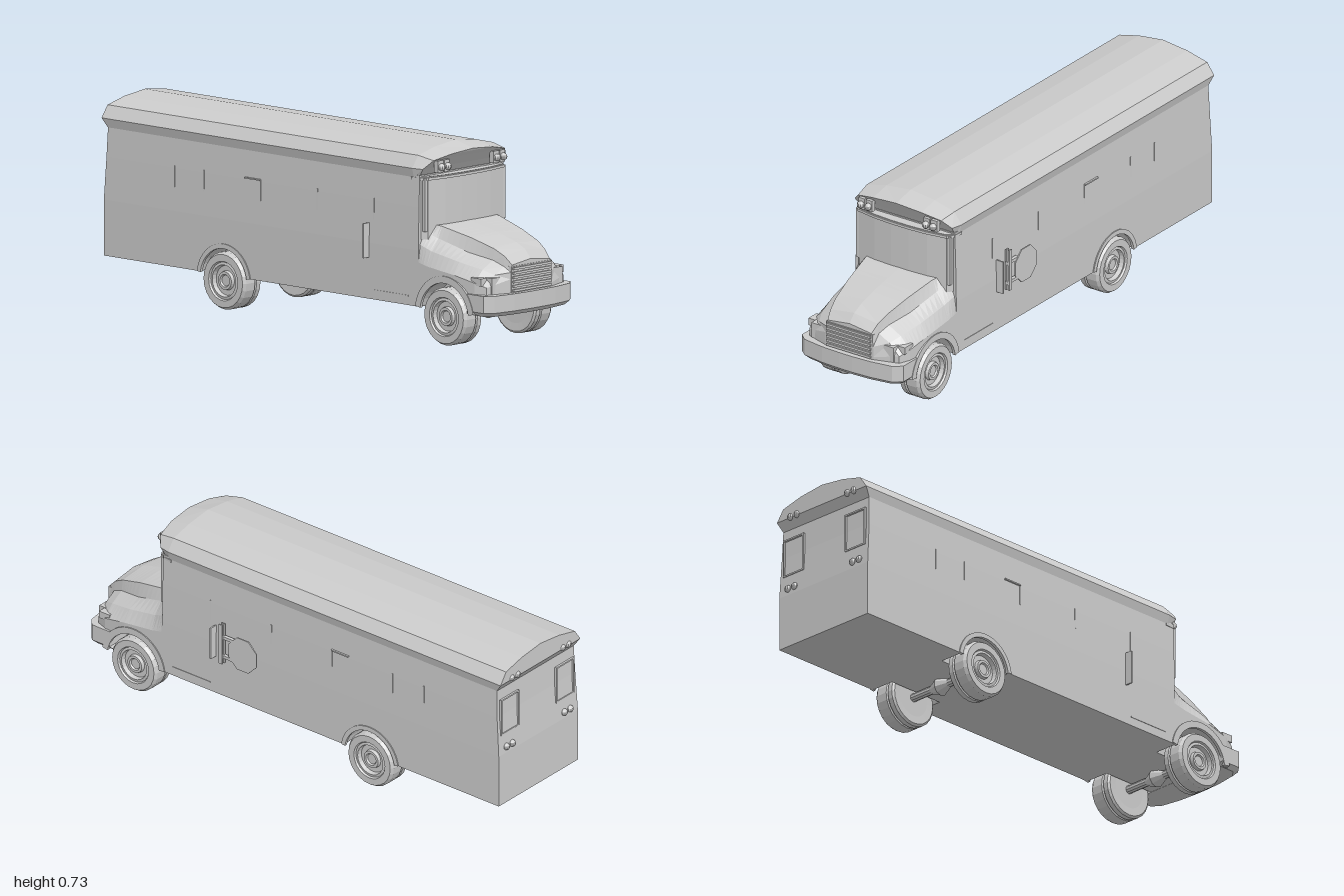
import * as THREE from 'three';

const mat = new THREE.MeshStandardMaterial({ color: 0xcccccc, flatShading: true, side: THREE.DoubleSide });
const REAR = -0.375, FRONT = 0.755, AXLE_Y = 0.11;

// Loft mirrored half sections along x. half(x) lists [z, y, dx] from top centre round to bottom centre.
function loft(xs, half) {
  const rings = xs.map((x) => {
    const h = half(x).map(([z, y, dx = 0]) => [x + dx, y, z]);
    return h.concat(h.slice(1, -1).reverse().map(([a, y, z]) => [a, y, -z]));
  });
  const n = rings[0].length, pos = [];
  const quad = (a, b, c, d) => pos.push(...a, ...b, ...c, ...b, ...d, ...c);
  for (let i = 0; i < rings.length - 1; i++)
    for (let j = 0; j < n; j++) {
      const k = (j + 1) % n;
      quad(rings[i][j], rings[i][k], rings[i + 1][j], rings[i + 1][k]);
    }
  const first = rings[0], last = rings[rings.length - 1];
  for (let k = 0; k < n / 2; k++) {
    const m = (n - k) % n, m2 = n - k - 1;
    quad(last[k], last[k + 1], last[m], last[m2]);
    quad(first[m], first[m2], first[k], first[k + 1]);
  }
  const g = new THREE.BufferGeometry();
  g.setAttribute('position', new THREE.Float32BufferAttribute(pos, 3));
  g.computeVertexNormals();
  return g;
}

// Extrude a plan outline (half, mirrored over z) upwards from y0 to y1
function plan(half, y0, y1, steps = 1) {
  const pts = half.concat([...half].reverse().map(([x, z]) => [x, -z]));
  const shape = new THREE.Shape(pts.map(([x, z]) => new THREE.Vector2(x, z)));
  const g = new THREE.ExtrudeGeometry(shape, { depth: y1 - y0, steps, bevelEnabled: false });
  return g.rotateX(-Math.PI / 2).translate(0, y0, 0);
}

// Underside height, raised over the wheels
const archY = (x, c, r) => Math.max(0.13, AXLE_Y + Math.sqrt(Math.max(0, r * r - (x - c) ** 2)));
const archXs = (c, r) => Array.from({ length: 17 }, (_, i) => c - r * Math.cos((Math.PI * i) / 16));

export function createModel() {
  const root = new THREE.Group();
  const add = (name, g, x = 0, y = 0, z = 0, parent = root) => {
    const m = new THREE.Mesh(g, mat);
    m.name = name;
    m.position.set(x, y, z);
    parent.add(m);
    return m;
  };
  const box = (name, w, h, d, x, y, z, parent) => add(name, new THREE.BoxGeometry(w, h, d), x, y, z, parent);

  // Passenger body with rear wheel wells
  add('body', loft([-0.99, ...archXs(REAR, 0.125), 0.62], (x) => {
    const b = archY(x, REAR, 0.125), s = x < -0.9 ? 0.015 : 0;
    return [[0, 0.62, s], [0.223, 0.62, s], [0.227, 0.5, s * 0.7], [0.23, 0.34], [0.23, b],
      [0.13, b], [0.13, 0.13], [0, 0.13]];
  }));

  // Arched roof with overhanging front cap
  add('roof', loft([-1, 0.59, 0.68], (x) => {
    if (x > 0.6) return [[0, 0.703], [0.11, 0.694, -0.005], [0.19, 0.677, -0.02], [0.222, 0.645, -0.045],
      [0.215, 0.61, -0.07], [0.15, 0.61, -0.03], [0, 0.61, -0.02]];
    const s = x < 0 ? 0.025 : 0;
    return [[0, 0.725], [0.11, 0.712], [0.2, 0.69], [0.232, 0.645], [0.223, 0.61, s], [0.15, 0.61, s], [0, 0.61, s]];
  }));

  // Wrapped windshield and its header
  add('windshield', plan([[0.58, 0.224], [0.615, 0.22], [0.64, 0.2], [0.653, 0.12], [0.658, 0.04]], 0.38, 0.615));
  add('windshieldHeader', plan([[0.58, 0.228], [0.617, 0.224], [0.645, 0.203], [0.659, 0.12], [0.664, 0.04]], 0.602, 0.612));
  for (const s of [-1, 1]) box('windshieldPost', 0.014, 0.2, 0.014, 0.632, 0.51, s * 0.207);

  // Hood and fenders: key sections (hood edge, crease, fender top, fender side), blended along x
  const keys = [
    [0.6, [0, 0.438, 0.17, 0.435, 0.205, 0.415, 0.226, 0.37, 0.23, 0.3]],
    [0.67, [0, 0.43, 0.155, 0.428, 0.175, 0.385, 0.21, 0.34, 0.23, 0.285]],
    [0.8, [0, 0.405, 0.135, 0.398, 0.15, 0.345, 0.2, 0.315, 0.23, 0.27]],
    [0.9, [0, 0.378, 0.118, 0.367, 0.125, 0.325, 0.18, 0.295, 0.222, 0.25]],
    [0.945, [0, 0.357, 0.108, 0.342, 0.113, 0.305, 0.16, 0.278, 0.205, 0.235]],
    [0.975, [0, 0.325, 0.1, 0.312, 0.105, 0.285, 0.108, 0.26, 0.11, 0.22]],
  ];
  const hoodXs = [...new Set([0.6, 0.67, 0.8, 0.9, 0.945, 0.975, ...archXs(FRONT, 0.13)])].sort((a, b) => a - b);
  add('hoodAndFenders', loft(hoodXs, (x) => {
    let i = 0;
    while (i < keys.length - 2 && x > keys[i + 1][0]) i++;
    const [x0, p] = keys[i], [x1, q] = keys[i + 1], t = (x - x0) / (x1 - x0);
    const v = p.map((a, k) => a + (q[k] - a) * t);
    const b = archY(x, FRONT, 0.13), inner = Math.min(0.13, v[8]);
    return [0, 2, 4, 6, 8].map((k) => [v[k], v[k + 1]])
      .concat([[v[8], b], [inner, b], [inner, 0.13], [0, 0.13]]);
  }));

  // Grille with slats
  box('grille', 0.03, 0.1, 0.212, 0.963, 0.257, 0);
  for (let i = 0; i < 6; i++) box('grilleSlat', 0.008, 0.009, 0.2, 0.98, 0.216 + i * 0.0165, 0);

  // Bumper, tucked in along its lower edge
  const bumper = plan([[0.87, 0.232], [0.955, 0.232], [0.982, 0.2], [0.996, 0.11], [1, 0.03]], 0.128, 0.208, 5);
  const bp = bumper.attributes.position;
  for (let i = 0; i < bp.count; i++)
    if (bp.getY(i) < 0.13) bp.setXYZ(i, bp.getX(i) - 0.015, bp.getY(i), bp.getZ(i) * 0.93);
  bumper.computeVertexNormals();
  add('bumper', bumper);

  const lamp = new THREE.SphereGeometry(0.014, 10, 8);
  for (const s of [-1, 1]) {
    // Headlights and turn signals
    box('headlight', 0.05, 0.06, 0.075, 0.931, 0.24, s * 0.15);
    box('turnSignal', 0.05, 0.028, 0.03, 0.905, 0.255, s * 0.205);
    // Warning lamps over the windshield and at the rear
    for (const z of [0.131, 0.165]) {
      box('roofLampPlate', 0.02, 0.045, 0.028, 0.662, 0.653, s * z);
      add('roofLamp', lamp, 0.677, 0.651, s * z);
      add('rearRoofLamp', lamp, -0.995, 0.65, s * z);
      add('tailLamp', lamp, -0.989, 0.365, s * (z + 0.02));
    }
    // Rear window frames
    for (const e of [-1, 1]) {
      box('rearWindowSide', 0.008, 0.15, 0.006, -0.984, 0.495, s * 0.16 + e * 0.05);
      box('rearWindowRail', 0.008, 0.006, 0.106, -0.984, 0.495 + e * 0.072, s * 0.16);
    }
    // Side trim, window posts and projecting side plates
    box('sideRail', 0.08, 0.005, 0.008, -0.23, 0.508, s * 0.23);
    for (const x of [-0.63, -0.48, -0.19, 0.1, 0.39]) box('windowPost', 0.004, 0.08, 0.004, x, 0.47, s * 0.2275);
    box('lowerTrim', 0.18, 0.004, 0.004, 0.48, 0.165, s * 0.23);
    box('sidePlate', 0.006, 0.13, 0.034, 0.365, 0.35, s * 0.243);
  }

  // Folded octagonal sign on a hinged bracket
  const sign = add('octagonSign', new THREE.CylinderGeometry(0.072, 0.072, 0.005, 8), 0.215, 0.35, -0.253);
  sign.rotation.set(Math.PI / 2, Math.PI / 8, 0);
  for (const z of [-0.243, -0.256]) box('signHinge', 0.016, 0.165, 0.006, 0.318, 0.363, z);
  for (const y of [0.31, 0.39]) box('signArm', 0.07, 0.012, 0.014, 0.292, y, -0.246);

  // Wheels: lathed tyre and stepped rim, outer face towards +z
  const wheelGeo = new THREE.LatheGeometry([
    [0, -0.045], [0.07, -0.045], [0.1, -0.047], [0.108, -0.04], [0.108, -0.02], [0.102, -0.017], [0.102, -0.014],
    [0.108, -0.011], [0.108, 0.035], [0.1, 0.047], [0.074, 0.047], [0.07, 0.04], [0.06, 0.042], [0.056, 0.025],
    [0.037, 0.025], [0.034, 0.038], [0.024, 0.038], [0.02, 0.032], [0, 0.032],
  ].map(([r, h]) => new THREE.Vector2(r, h)), 24).rotateX(Math.PI / 2);
  const axleGeo = new THREE.LatheGeometry([[0, -0.16], [0.016, -0.16], [0.016, -0.045], [0.036, 0], [0.016, 0.045],
    [0.016, 0.16], [0, 0.16]].map(([r, h]) => new THREE.Vector2(r, h)), 10).rotateX(Math.PI / 2);

  for (const [label, x, r, w] of [['rear', REAR, 0.125, 0.012], ['front', FRONT, 0.13, 0.02]]) {
    add(label + 'Axle', axleGeo, x, AXLE_Y, 0);
    const arc = new THREE.Shape();
    arc.absarc(0, 0, r + w, 0.15, Math.PI - 0.15, false);
    arc.absarc(0, 0, r - 0.006, Math.PI - 0.15, 0.15, true);
    const lip = new THREE.ExtrudeGeometry(arc, { depth: 0.012, bevelEnabled: false, curveSegments: 16 });
    for (const s of [-1, 1]) {
      const wheel = add(label + 'Wheel', wheelGeo, x, 0.108, s * 0.188);
      if (s < 0) wheel.rotation.y = Math.PI;
      add(label + 'ArchLip', lip, x, AXLE_Y, s * 0.228 - 0.006);
    }
  }
  return root;
}
